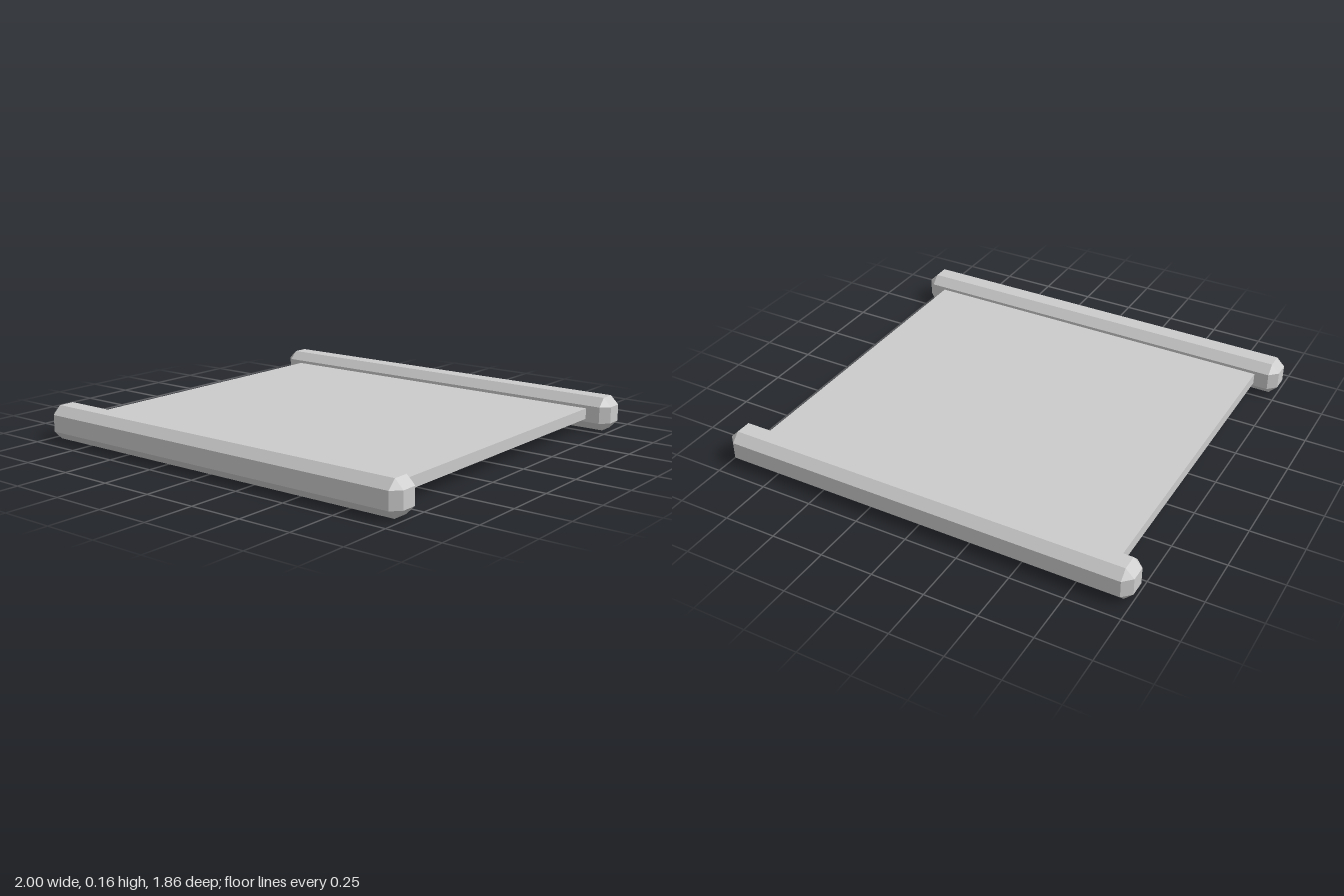
import * as THREE from 'three';
import { ConvexGeometry } from 'three/addons/geometries/ConvexGeometry.js';

// Box with every edge and corner cut off by c
function chamferedBox(hx, hy, hz, c) {
  const points = [];
  for (const sx of [-1, 1]) for (const sy of [-1, 1]) for (const sz of [-1, 1]) {
    points.push(
      new THREE.Vector3(sx * hx, sy * (hy - c), sz * (hz - c)),
      new THREE.Vector3(sx * (hx - c), sy * hy, sz * (hz - c)),
      new THREE.Vector3(sx * (hx - c), sy * (hy - c), sz * hz)
    );
  }
  return new ConvexGeometry(points);
}

export function createModel() {
  const group = new THREE.Group();
  const material = new THREE.MeshStandardMaterial({ color: 0xcccccc, flatShading: true });
  const midY = 0.08;

  // Flat panel, its ends set into the rails
  const panel = new THREE.Mesh(new THREE.BoxGeometry(1.78, 0.052, 1.7), material);
  panel.name = 'panel';
  panel.position.y = midY;
  group.add(panel);

  // Chamfered rails along the front and back
  const railGeometry = chamferedBox(1, 0.08, 0.078, 0.04);
  for (const [name, side] of [['frontRail', 1], ['backRail', -1]]) {
    const rail = new THREE.Mesh(railGeometry, material);
    rail.name = name;
    rail.position.set(0, midY, side * 0.85);
    group.add(rail);
  }

  return group;
}
